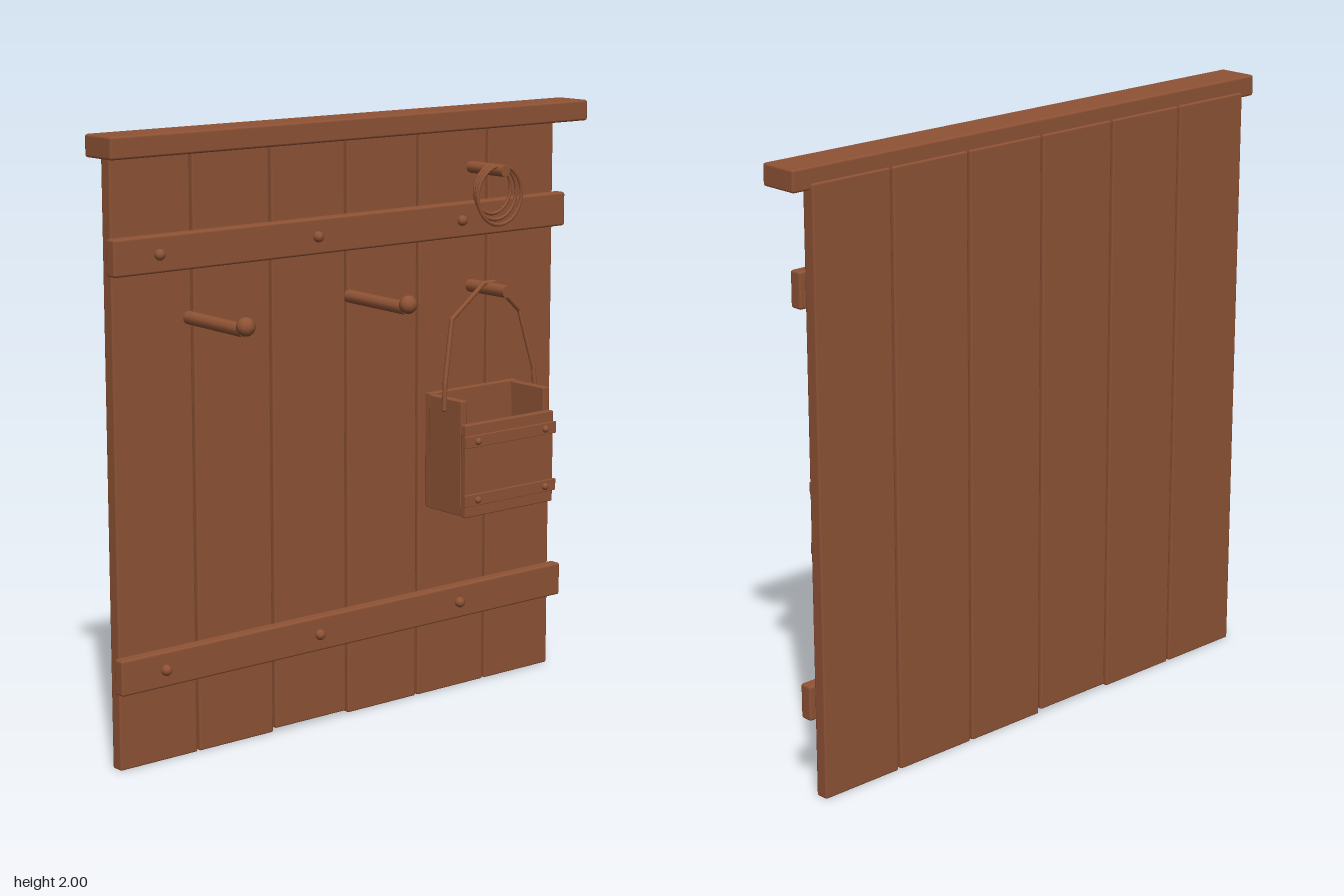
import * as THREE from 'three';
import { RoundedBoxGeometry } from 'three/addons/geometries/RoundedBoxGeometry.js';

export function createModel() {
  const root = new THREE.Group();
  root.name = 'plankWallRack';
  const wood = new THREE.MeshStandardMaterial({ color: 0x8f5335 });
  wood.name = 'brownWood';

  const group = (name) => {
    const g = new THREE.Group();
    g.name = name;
    root.add(g);
    return g;
  };
  const add = (parent, name, geometry) => {
    const mesh = new THREE.Mesh(geometry, wood);
    mesh.name = name;
    parent.add(mesh);
    return mesh;
  };
  // Softly bevelled box given by its limits on each axis
  const box = (parent, name, x0, x1, y0, y1, z0, z1, bevel = 0.006) => {
    const m = add(parent, name, new RoundedBoxGeometry(x1 - x0, y1 - y0, z1 - z0, 1, bevel));
    m.position.set((x0 + x1) / 2, (y0 + y1) / 2, (z0 + z1) / 2);
    return m;
  };
  const ball = (parent, name, x, y, z, r) =>
    add(parent, name, new THREE.SphereGeometry(r, 10, 8)).position.set(x, y, z);
  // Round bar between two points
  const bar = (parent, name, a, b, r, sides) => {
    const dir = b.clone().sub(a);
    const m = add(parent, name, new THREE.CylinderGeometry(r, r, dir.length(), sides));
    m.position.copy(a).lerp(b, 0.5);
    m.quaternion.setFromUnitVectors(new THREE.Vector3(0, 1, 0), dir.normalize());
  };
  const V = (x, y, z) => new THREE.Vector3(x, y, z);

  // Vertical planks with narrow gaps
  const planks = group('planks');
  for (let i = 0; i < 6; i++) {
    const x = -0.922 + i * 0.3085;
    box(planks, 'plank', x, x + 0.299, i === 2 ? 0.01 : 0, 1.95, -0.18, -0.135);
  }

  // Top cap
  box(root, 'topCap', -0.985, 0.985, 1.93, 2, -0.172, -0.035, 0.008);

  // Cross rails with bolts
  const rails = group('rails');
  for (const y of [0.255, 1.568]) {
    box(rails, 'rail', -0.94, 0.94, y, y + 0.116, -0.137, -0.093, 0.008);
    for (const x of [-0.775, -0.155, 0.46]) ball(rails, 'bolt', x, y + 0.058, -0.087, 0.018);
  }

  // Long pegs with ball ends
  const pegs = group('pegs');
  for (const x of [-0.635, 0.013]) {
    bar(pegs, 'longPeg', V(x, 1.412, -0.14), V(x, 1.407, 0.15), 0.022, 10);
    ball(pegs, 'pegKnob', x, 1.42, 0.155, 0.03);
  }
  // Short pegs for the rings and the bucket
  bar(pegs, 'ringPeg', V(0.54, 1.795, -0.14), V(0.54, 1.795, 0.035), 0.02, 10);
  bar(pegs, 'bucketPeg', V(0.54, 1.395, -0.14), V(0.54, 1.395, 0.05), 0.022, 10);

  // Hanging rings, all sharing the same top
  const rings = group('hangingRings');
  [[0.098, 0.008], [0.09, -0.009], [0.081, -0.027]].forEach(([r, z]) =>
    add(rings, 'ring', new THREE.TorusGeometry(r, 0.006, 6, 24)).position.set(0.54, 1.81 - r, z));

  // Open wooden bucket
  const bucket = group('bucket');
  const cx = 0.54;
  box(bucket, 'bucketBack', cx - 0.2, cx + 0.2, 0.66, 1.052, -0.135, -0.11, 0.004);
  box(bucket, 'bucketFront', cx - 0.2, cx + 0.2, 0.655, 0.97, 0.045, 0.07, 0.004);
  box(bucket, 'bucketFloor', cx - 0.18, cx + 0.18, 0.66, 0.685, -0.115, 0.05, 0.004);
  for (const s of [-1, 1]) {
    const x = cx + s * 0.187;
    box(bucket, 'bucketSide', x - 0.014, x + 0.014, 0.658, 1.048, -0.112, 0.047, 0.004);
  }
  // Front bands with rivets
  for (const y of [0.913, 0.714]) {
    box(bucket, 'bucketBand', cx - 0.207, cx + 0.207, y - 0.02, y + 0.02, 0.068, 0.078, 0.002);
    for (const s of [-1, 1]) ball(bucket, 'rivet', cx + s * 0.154, y, 0.081, 0.012);
  }

  // Bent wire handle over the short peg
  const handle = group('bucketHandle');
  const half = [[0.207, 1.01, -0.03], [0.202, 1.1, -0.032], [0.153, 1.305, -0.055], [0.022, 1.415, -0.042]];
  const path = [
    ...half.map(([x, y, z]) => V(cx - x, y, z)),
    ...half.slice().reverse().map(([x, y, z]) => V(cx + x, y, z)),
  ];
  path.forEach((p, i) => {
    if (i) bar(handle, 'handleWire', path[i - 1], p, 0.008, 8);
    ball(handle, 'handleBend', p.x, p.y, p.z, 0.008);
  });

  return root;
}
